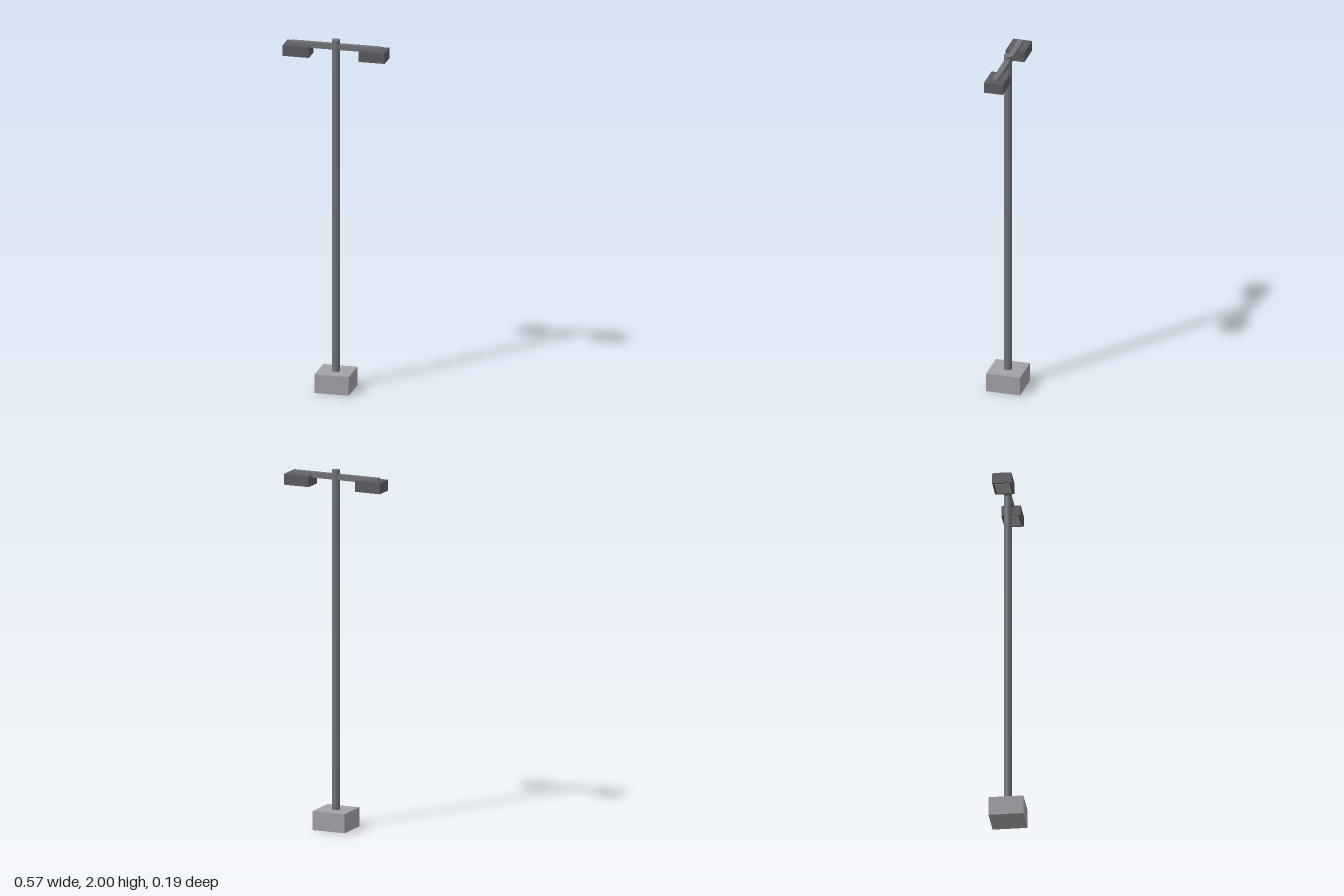
import * as THREE from 'three';

const material = (color) => new THREE.MeshStandardMaterial({ color, flatShading: true });

export function createModel() {
  const group = new THREE.Group();
  const concrete = material(0xa0a0a5);
  const steel = material(0x707276);
  const housing = material(0x5a5a60);
  const glass = material(0xa8a8a8);

  const add = (name, geometry, mat, x, y, z) => {
    const mesh = new THREE.Mesh(geometry, mat);
    mesh.name = name;
    mesh.position.set(x, y, z);
    group.add(mesh);
  };

  // Footing and pole
  add('base', new THREE.BoxGeometry(0.192, 0.106, 0.192), concrete, 0, 0.053, 0);
  add('pole', new THREE.CylinderGeometry(0.023, 0.023, 1.9, 16), steel, 0, 1.05, 0);

  // Crossbar carrying both lamps
  add('crossArm', new THREE.BoxGeometry(0.512, 0.03, 0.031), steel, 0, 1.961, 0);

  // Lamp heads with a light panel underneath
  for (const [side, s] of [['left', 1], ['right', -1]]) {
    add(side + 'LampHead', new THREE.BoxGeometry(0.148, 0.06, 0.106), housing, s * 0.213, 1.93, 0);
    add(side + 'LightPanel', new THREE.BoxGeometry(0.122, 0.006, 0.082), glass, s * 0.213, 1.901, 0);
  }

  return group;
}
